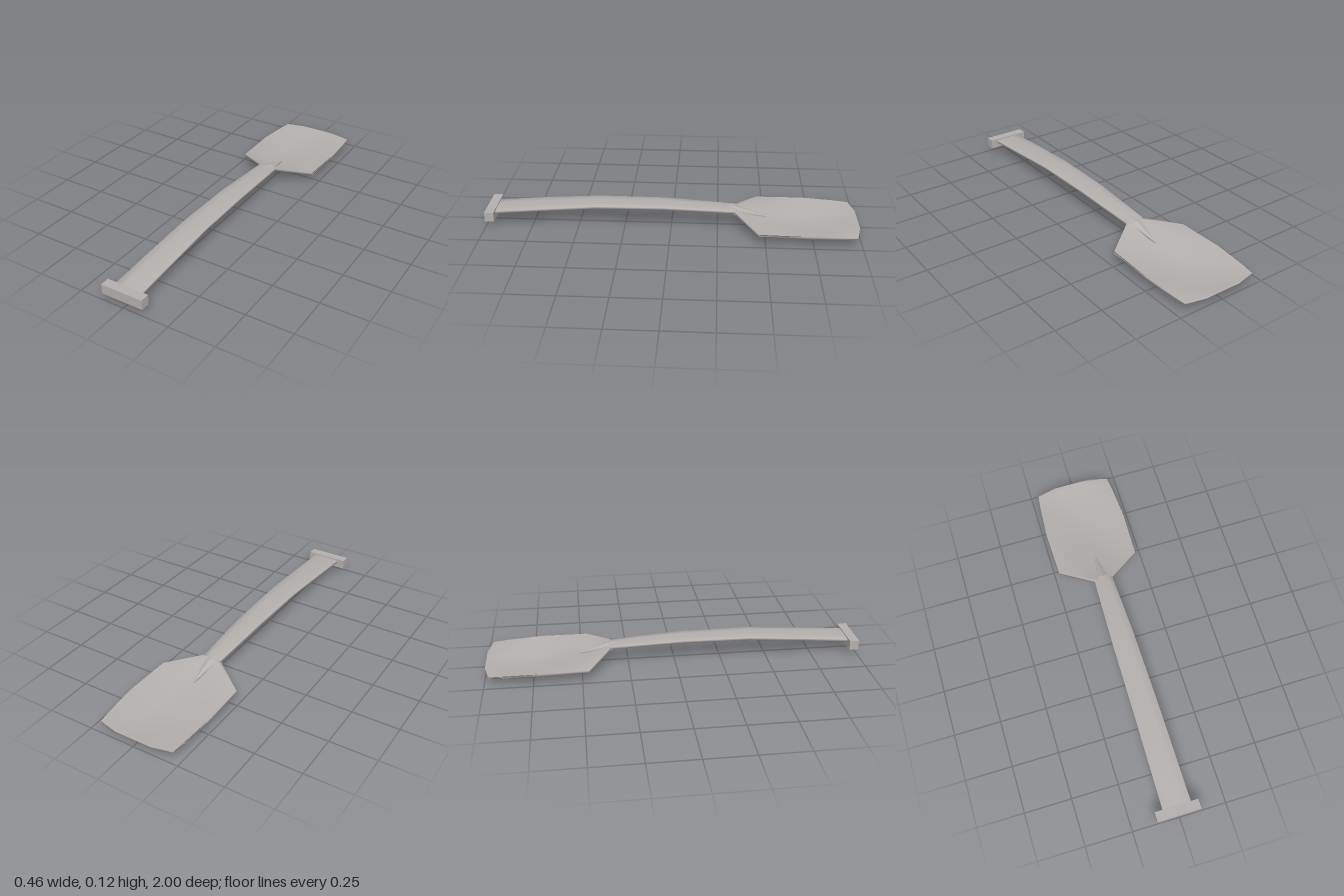
import * as THREE from 'three';

const CENTRE_X = -0.003;

// Lofts a closed slab through stations [z, halfWidth, rimY, middleY, thickness].
// Columns are fractions of the half width; the outermost two follow rimY.
function loft(stations, columns) {
  const n = columns.length;
  const ring = n * 2;
  const pos = [];
  const idx = [];
  for (const [z, hw, rimY, midY, thick] of stations) {
    const yAt = (k) => (k === 0 || k === n - 1 ? rimY : midY);
    for (let k = 0; k < n; k++) pos.push(CENTRE_X + columns[k] * hw, yAt(k), z);
    for (let k = n - 1; k >= 0; k--) pos.push(CENTRE_X + columns[k] * hw, yAt(k) - thick, z);
  }
  for (let i = 0; i < stations.length - 1; i++) {
    for (let j = 0; j < ring; j++) {
      const a = i * ring + j;
      const b = i * ring + ((j + 1) % ring);
      idx.push(a, b, a + ring, b, b + ring, a + ring);
    }
  }
  // End caps, as strips between the top and bottom rows
  const last = (stations.length - 1) * ring;
  for (let k = 0; k < n - 1; k++) {
    const a = k, b = k + 1, c = ring - 2 - k, d = ring - 1 - k;
    idx.push(a, d, c, a, c, b);
    idx.push(last + a, last + c, last + d, last + a, last + b, last + c);
  }
  const geo = new THREE.BufferGeometry();
  geo.setAttribute('position', new THREE.Float32BufferAttribute(pos, 3));
  geo.setIndex(idx);
  geo.computeVertexNormals();
  return geo;
}

export function createModel() {
  const group = new THREE.Group();
  const steel = new THREE.MeshStandardMaterial({ color: 0xb4b0ae });
  steel.name = 'steel grey';

  const add = (name, geometry) => {
    const mesh = new THREE.Mesh(geometry, steel);
    mesh.name = name;
    group.add(mesh);
    return mesh;
  };

  // Cross grip at the end of the handle
  add('grip', new THREE.BoxGeometry(0.23, 0.052, 0.05)).position.set(-0.005, 0.065, 0.975);

  // Flat, gently arched handle
  add('handle', loft([
    [0.96, 0.075, 0.081, 0.084, 0.014],
    [0.70, 0.072, 0.101, 0.104, 0.014],
    [0.40, 0.068, 0.122, 0.125, 0.014],
    [0.04, 0.063, 0.122, 0.125, 0.014],
    [-0.15, 0.057, 0.113, 0.116, 0.014],
    [-0.345, 0.050, 0.103, 0.105, 0.014],
  ], [-1, -0.4, 0.4, 1]));

  // Dished blade with a clipped far edge
  add('blade', loft([
    [-0.34, 0.050, 0.103, 0.105, 0.014],
    [-0.465, 0.222, 0.062, 0.058, 0.014],
    [-0.72, 0.228, 0.060, 0.018, 0.015],
    [-0.90, 0.216, 0.053, 0.032, 0.012],
    [-0.975, 0.207, 0.049, 0.044, 0.007],
    [-1.0, 0.1, 0.049, 0.049, 0.004],
  ], [-1, -0.32, 0.32, 1]));

  // Pointed rib where the handle runs into the blade
  const rib = loft([
    [-0.24, 0.004, 0.108, 0.110, 0.01],
    [-0.36, 0.030, 0.097, 0.108, 0.03],
    [-0.51, 0.002, 0.057, 0.058, 0.02],
  ], [-1, 0, 1]).toNonIndexed();
  rib.computeVertexNormals();
  add('neckRib', rib);

  return group;
}
